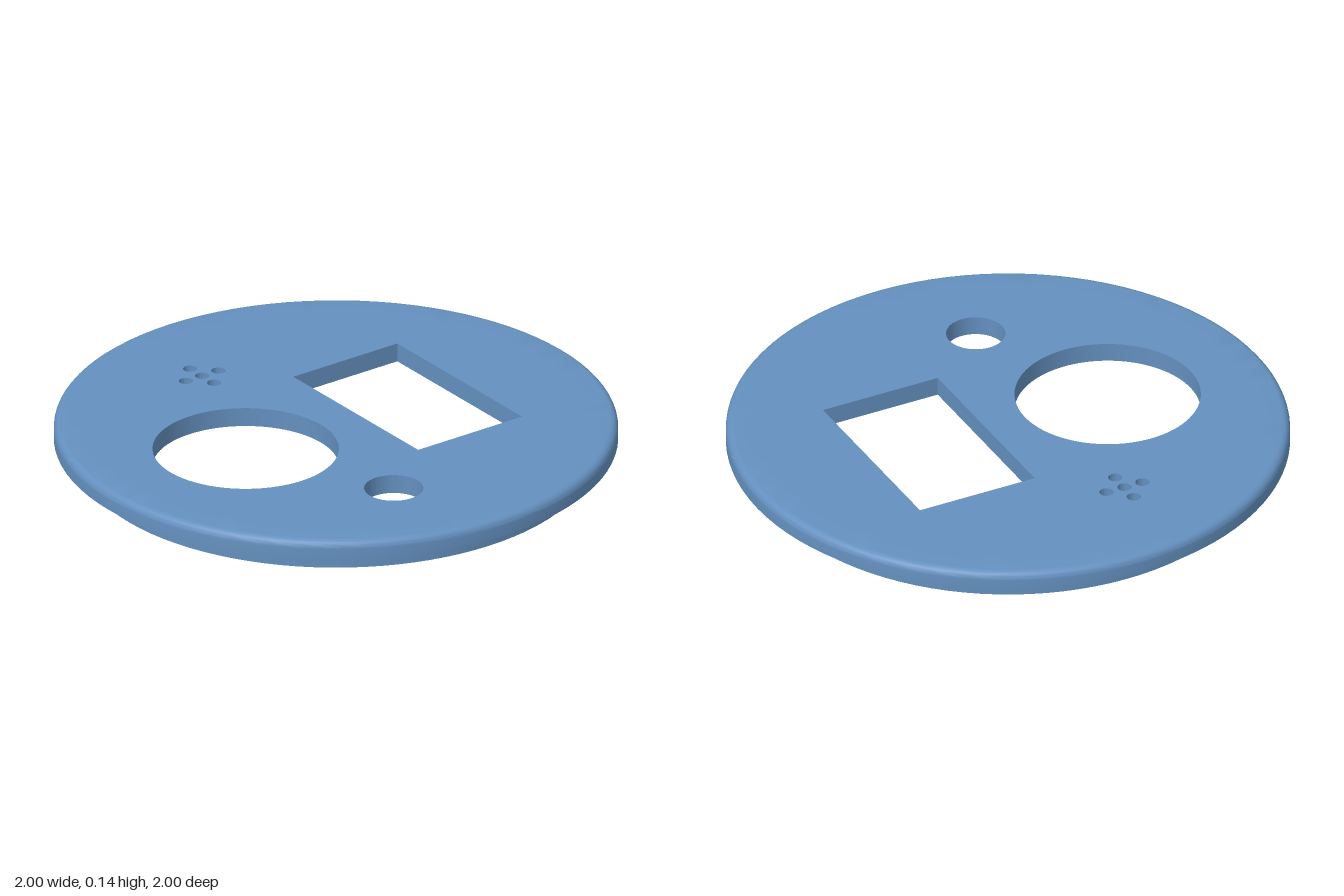
import * as THREE from 'three';
import { toCreasedNormals } from 'three/addons/utils/BufferGeometryUtils.js';

const SEGMENTS = 96;
const TOP = 0.145, FLOOR = 0.075;   // panel faces
const R_IN = 0.87, R_LIP = 0.91;    // locating lip
const FILLET = 0.03;                // rounded upper edge

// round hole at (x, z); the shape plane has y = -z
function roundHole(x, z, r) {
  return new THREE.Path().absarc(x, -z, r, 0, Math.PI * 2, true);
}

function rectHole(x0, x1, z0, z1) {
  return new THREE.Path([
    new THREE.Vector2(x0, -z0), new THREE.Vector2(x1, -z0),
    new THREE.Vector2(x1, -z1), new THREE.Vector2(x0, -z1),
  ]);
}

// drop the panel's outer wall, which would be buried inside the rim
function removeOuterWall(geometry) {
  const p = geometry.attributes.position, kept = [];
  for (let i = 0; i < p.count; i += 3) {
    const corners = [i, i + 1, i + 2];
    const onEdge = corners.every((k) => Math.hypot(p.getX(k), p.getZ(k)) > R_IN - 0.002);
    const ys = corners.map((k) => p.getY(k));
    if (onEdge && Math.max(...ys) - Math.min(...ys) > 0.01) continue;
    for (const k of corners) kept.push(p.getX(k), p.getY(k), p.getZ(k));
  }
  const out = new THREE.BufferGeometry();
  out.setAttribute('position', new THREE.Float32BufferAttribute(kept, 3));
  return out;
}

export function createModel() {
  const model = new THREE.Group();
  model.name = 'roundCover';
  const blue = new THREE.MeshStandardMaterial({ color: 0x6490bf });
  blue.name = 'steelBlue';

  const add = (name, geometry) => {
    const mesh = new THREE.Mesh(toCreasedNormals(geometry, 0.5), blue);
    mesh.name = name;
    model.add(mesh);
  };

  // flat panel with its cut-outs
  const disc = new THREE.Shape().absarc(0, 0, R_IN, 0, Math.PI * 2, false);
  disc.holes.push(
    rectHole(-0.372, 0.372, -0.545, -0.087),  // display window
    roundHole(0, 0.398, 0.33),                // large opening
    roundHole(0.571, 0.168, 0.105),           // button hole
  );
  const pitch = 0.0715;
  for (const [i, j] of [[0, 0], [1, 0], [-1, 0], [0, 1], [0, -1]]) {
    disc.holes.push(roundHole(-0.571 + i * pitch, 0.168 + j * pitch, 0.025)); // sound holes
  }
  const panel = new THREE.ExtrudeGeometry(disc, {
    depth: TOP - FLOOR, bevelEnabled: false, curveSegments: SEGMENTS,
  });
  panel.rotateX(-Math.PI / 2).translate(0, FLOOR, 0);
  add('panel', removeOuterWall(panel));

  // rim: lip underneath, overhanging flange and rounded upper edge
  const profile = [
    [R_IN, FLOOR], [R_IN, 0], [R_LIP, 0], [R_LIP, FLOOR], [1, FLOOR],
  ].map(([x, y]) => new THREE.Vector2(x, y));
  for (let i = 0; i <= 6; i++) {
    const a = (i / 6) * Math.PI / 2;
    profile.push(new THREE.Vector2(
      1 - FILLET + FILLET * Math.cos(a), TOP - FILLET + FILLET * Math.sin(a)));
  }
  profile.push(new THREE.Vector2(R_IN, TOP));
  add('rim', new THREE.LatheGeometry(profile, SEGMENTS));

  return model;
}
